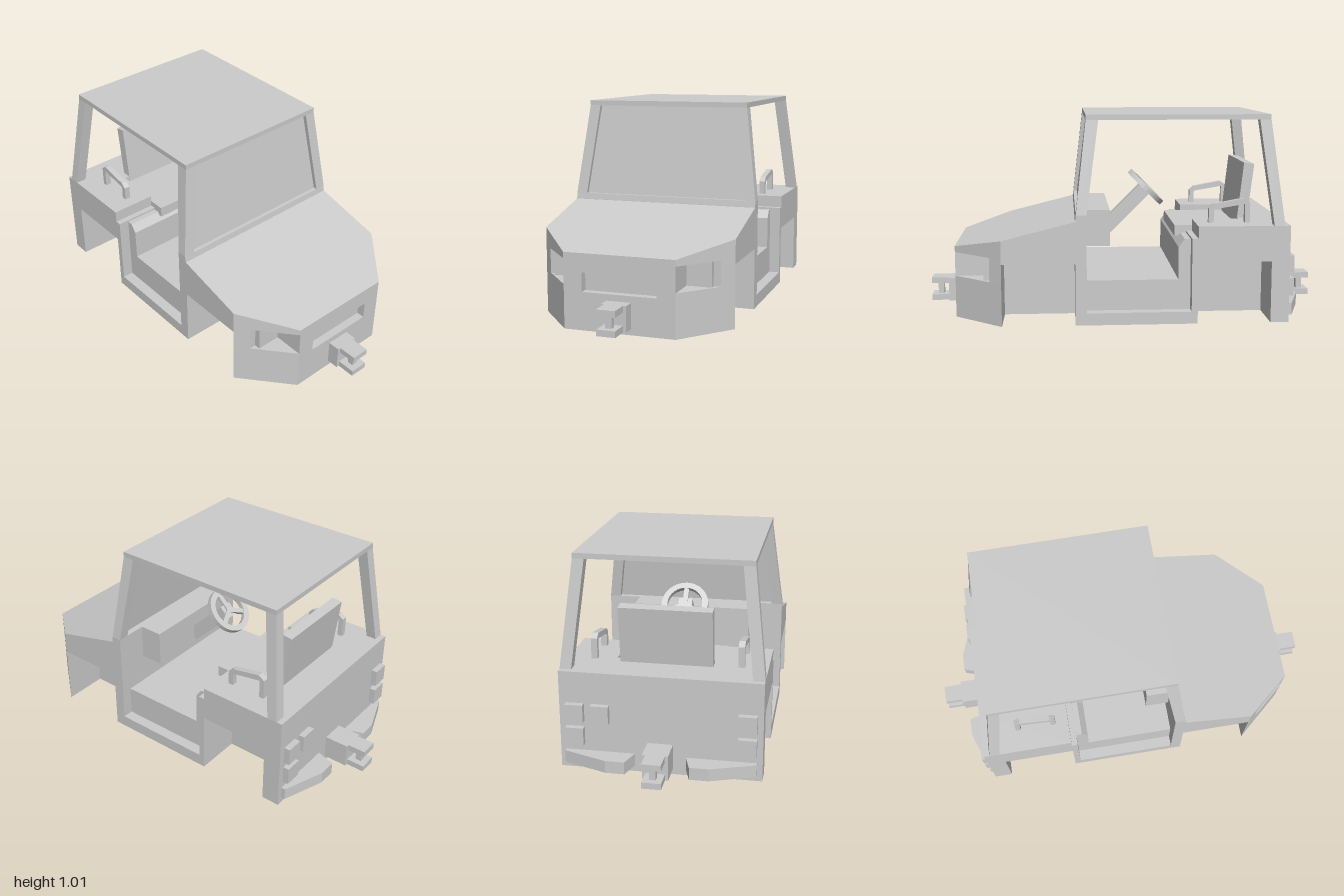
import * as THREE from 'three';

const grey = new THREE.MeshStandardMaterial({ color: 0xcccccc, flatShading: true });
const glassMat = new THREE.MeshStandardMaterial({ color: 0xcccccc, flatShading: true, side: THREE.DoubleSide });

export function createModel() {
  const root = new THREE.Group();

  const add = (name, geometry, material = grey, parent = root) => {
    const mesh = new THREE.Mesh(geometry, material);
    mesh.name = name;
    parent.add(mesh);
    return mesh;
  };
  // Box from its limits
  const box = (name, x0, x1, y0, y1, z0, z1) => {
    const g = new THREE.BoxGeometry(Math.abs(x1 - x0), y1 - y0, Math.abs(z1 - z0));
    g.translate((x0 + x1) / 2, (y0 + y1) / 2, (z0 + z1) / 2);
    return add(name, g);
  };
  // Plan outline of (x, z) points raised from y0 to y1
  const prism = (pts, y0, y1) => {
    const shape = new THREE.Shape(pts.map(([x, z]) => new THREE.Vector2(x, -z)));
    const g = new THREE.ExtrudeGeometry(shape, { depth: y1 - y0, bevelEnabled: false });
    return g.rotateX(-Math.PI / 2).translate(0, y0, 0);
  };
  // Side outline of (z, y) points spread from x0 to x1
  const sideProfile = (pts, x0, x1, holes = []) => {
    const shape = new THREE.Shape(pts.map(([z, y]) => new THREE.Vector2(-z, y)));
    shape.holes = holes;
    const g = new THREE.ExtrudeGeometry(shape, { depth: x1 - x0, bevelEnabled: false });
    return g.rotateY(Math.PI / 2).translate(x0, 0, 0);
  };
  // Slanted post between two rectangles [x0, x1, z0, z1]
  const post = (name, y0, bottom, y1, top) => {
    const g = new THREE.BoxGeometry(1, 1, 1);
    const p = g.attributes.position;
    for (let i = 0; i < p.count; i++) {
      const up = p.getY(i) > 0;
      const r = up ? top : bottom;
      p.setXYZ(i, p.getX(i) < 0 ? r[0] : r[1], up ? y1 : y0, p.getZ(i) < 0 ? r[2] : r[3]);
    }
    g.computeVertexNormals();
    return add(name, g);
  };
  const mirrorPts = (half) => [...half, ...half.slice().reverse().map(([x, z]) => [-x, z])];

  // Nose in layers, so that the grille and lamp pockets stay open
  const noseLayer = (y0, y1, grille, lamps) => {
    const half = [[0.475, 0.61]];
    if (lamps) half.push([0.424, 0.67], [0.27, 0.67]);
    half.push([0.27, 0.85]);
    if (grille) half.push([0.18, 0.85], [0.18, 0.81]);
    add('nose', prism(mirrorPts(half), y0, y1));
  };
  noseLayer(0, 0.18, false, false);
  noseLayer(0.18, 0.21, true, false);
  noseLayer(0.21, 0.27, true, true);
  noseLayer(0.27, 0.33, false, true);

  // Sloping bonnet
  const bonnet = prism(mirrorPts([[0.475, 0.25], [0.475, 0.61], [0.27, 0.85]]), 0.33, 0.4);
  const bp = bonnet.attributes.position;
  for (let i = 0; i < bp.count; i++) {
    if (bp.getY(i) > 0.37) bp.setY(i, 0.36 + (0.85 - bp.getZ(i)) * 0.25);
  }
  bonnet.computeVertexNormals();
  add('bonnet', bonnet);
  box('frontWellRoof', -0.475, 0.475, 0.305, 0.33, 0.25, 0.61);
  box('frontWellCore', -0.245, 0.245, 0, 0.305, 0.25, 0.61);

  // Firewall, dashboard, floor and sills
  add('firewall', sideProfile([[0.2, 0], [0.255, 0], [0.255, 0.51], [0.251, 0.54], [0.2, 0.54]], -0.475, 0.475));
  box('dashboard', -0.31, 0.31, 0.36, 0.54, 0.08, 0.2);
  box('floor', -0.42, 0.42, 0, 0.21, -0.31, 0.2);
  box('sill', -0.475, 0.475, 0, 0.06, -0.31, 0.2);

  // Rear body with wheel wells and a seat notch
  box('rearDoorFrame', -0.475, 0.475, 0, 0.42, -0.34, -0.31);
  box('rearWellCore', -0.245, 0.245, 0, 0.305, -0.7, -0.34);
  box('rearPanel', -0.475, 0.475, 0, 0.305, -0.79, -0.7);
  box('rearWellRoof', -0.475, 0.475, 0.305, 0.4, -0.79, -0.34);
  box('rearDeckBack', -0.245, 0.245, 0.4, 0.48, -0.79, -0.575);

  // Seat
  add('seatBase', sideProfile([[-0.34, 0.21], [-0.25, 0.21], [-0.25, 0.37], [-0.28, 0.41], [-0.34, 0.41]], -0.42, 0.42));
  box('seatCushion', -0.245, 0.245, 0.395, 0.45, -0.575, -0.25);
  add('seatBack', sideProfile([[-0.57, 0.45], [-0.62, 0.45], [-0.657, 0.755], [-0.605, 0.762]], -0.22, 0.22));

  // Cab roof
  box('roof', -0.415, 0.415, 0.99, 1.015, -0.695, 0.2);

  for (const s of [-1, 1]) {
    const order = (a, b) => (s > 0 ? [a, b] : [-b, -a]);
    const [d0, d1] = order(0.245, 0.475);
    box('rearDeckSide', d0, d1, 0.4, 0.48, -0.79, -0.34);
    const low = order(0.42, 0.475), high = order(0.36, 0.415);
    post('frontPost', 0.54, [...low, 0.2, 0.251], 0.99, [...high, 0.14, 0.2]);
    post('rearPost', 0.48, [...low, -0.762, -0.71], 0.99, [...high, -0.695, -0.64]);

    // Headlamp at the back of its pocket
    const [h0, h1] = order(0.27, 0.39);
    box('headlamp', h0, h1, 0.21, 0.33, 0.67, 0.7);

    // Bent arm rail
    const [a0, a1] = order(0.335, 0.365);
    add('armRail', sideProfile([[-0.405, 0.48], [-0.405, 0.55], [-0.43, 0.572], [-0.58, 0.6],
      [-0.61, 0.58], [-0.61, 0.48], [-0.585, 0.48], [-0.585, 0.572], [-0.435, 0.547], [-0.43, 0.54], [-0.43, 0.48]], a0, a1));

    // Rear bumper wing
    add('rearBumper', prism([[0.12, -0.79], [0.15, -0.885], [0.24, -0.885], [0.45, -0.81], [0.45, -0.79]]
      .map(([x, z]) => [s * x, z]), 0.03, 0.09));

    // Tow hitches at front (s = 1) and rear (s = -1)
    const zr = s > 0 ? 0.85 : -0.79;
    box('hitchBlock', -0.06, 0.06, 0.03, 0.15, zr, s * 0.91);
    box('hitchTopPlate', -0.045, 0.045, 0.12, 0.15, s * 0.91, s);
    box('hitchBottomPlate', -0.045, 0.045, 0.03, 0.06, s * 0.91, s);
    box('hitchPin', -0.015, 0.015, 0.06, 0.12, s * 0.94, s * 0.97);
  }

  // Rear lamps, with an extra one on one side
  for (const [x, y] of [[0.4, 0.24], [0.4, 0.125], [0.28, 0.24], [-0.405, 0.24], [-0.405, 0.125]]) {
    box('rearLamp', x - 0.043, x + 0.043, y, y + 0.087, -0.82, -0.79);
  }

  // Windscreen, set back between the posts
  const pane = new THREE.BufferGeometry();
  pane.setAttribute('position', new THREE.Float32BufferAttribute([
    -0.43, 0.535, 0.232, 0.43, 0.535, 0.232, 0.37, 0.995, 0.178, -0.37, 0.995, 0.178], 3));
  pane.setIndex([0, 1, 2, 0, 2, 3]);
  pane.computeVertexNormals();
  add('windscreen', pane, glassMat);

  // Steering column and wheel, built upright and tilted back
  const steering = new THREE.Group();
  steering.name = 'steering';
  steering.position.set(0, 0.615, -0.125);
  steering.rotation.x = -Math.PI / 4;
  root.add(steering);
  const rim = new THREE.Shape().absarc(0, 0, 0.12, 0, Math.PI * 2);
  rim.holes.push(new THREE.Path().absarc(0, 0, 0.09, 0, Math.PI * 2, true));
  add('steeringWheel', new THREE.ExtrudeGeometry(rim, { depth: 0.026, bevelEnabled: false, curveSegments: 16 })
    .rotateX(-Math.PI / 2).translate(0, -0.013, 0), grey, steering);
  add('steeringColumn', new THREE.BoxGeometry(0.07, 0.3, 0.07).translate(0, -0.15, 0), grey, steering);
  for (let i = 0; i < 3; i++) {
    add('steeringSpoke', new THREE.BoxGeometry(0.025, 0.018, 0.1).translate(0, 0, 0.05)
      .rotateY(i * Math.PI * 2 / 3), grey, steering);
  }

  return root;
}
